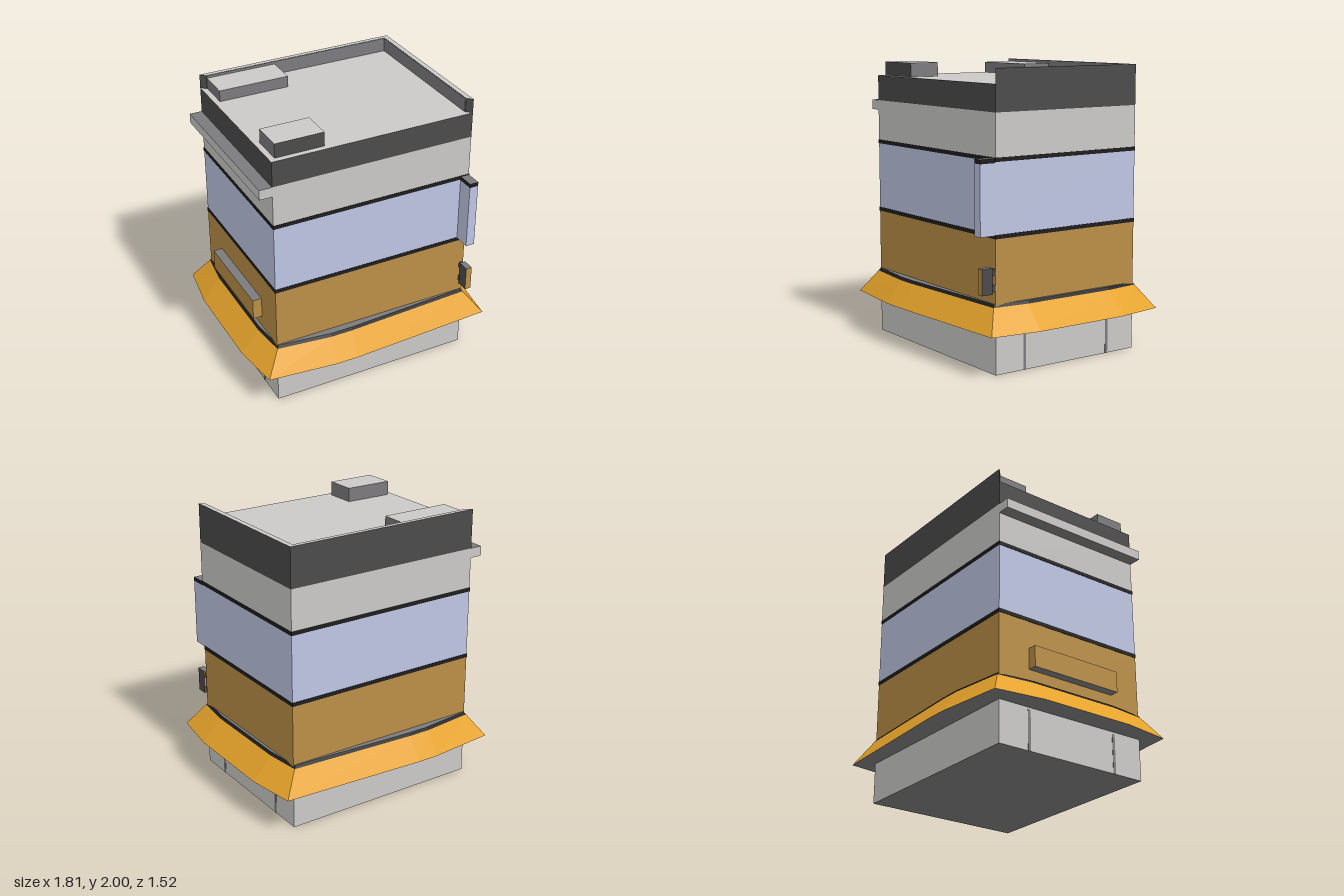
import * as THREE from 'three';

const mat = (name, color) => {
  const m = new THREE.MeshStandardMaterial({ color });
  m.name = name;
  return m;
};

export function createModel() {
  const group = new THREE.Group();
  group.name = 'cornerBuilding';

  const grey = mat('lightGrey', 0xcac9c7);
  const mid = mat('midGrey', 0x7b7b7d);
  const dark = mat('darkGrey', 0x4b4b4b);
  const black = mat('blackTrim', 0x1e1e1e);
  const lavender = mat('lavender', 0xbfc5e3);
  const tan = mat('tan', 0xbb8f46);
  const amber = mat('amber', 0xe7a42b);

  const add = (name, geometry, material) => {
    const mesh = new THREE.Mesh(geometry, material);
    mesh.name = name;
    group.add(mesh);
    return mesh;
  };

  // Box from its limits; material may list +x, -x, +y, -y, +z, -z
  const box = (name, [x0, x1], [y0, y1], [z0, z1], material) => {
    const g = new THREE.BoxGeometry(x1 - x0, y1 - y0, z1 - z0);
    g.translate((x0 + x1) / 2, (y0 + y1) / 2, (z0 + z1) / 2);
    return add(name, g, material);
  };
  // Face list for a box with mid grey top and underside
  const capped = (side, end = side) => [side, side, mid, mid, end, end];

  const X = [-0.74, 0.735], Z = [-0.59, 0.59];

  // Storeys, bottom to top
  box('groundFloor', X, [0, 0.4], Z, [grey, grey, grey, mid, grey, grey]);
  box('lowerWall', X, [0.4, 0.905], Z, tan);
  box('middleWall', X, [0.932, 1.405], Z, lavender);
  box('upperWall', X, [1.432, 1.72], Z, grey);
  box('roofBlock', X, [1.72, 1.9], Z, [dark, dark, grey, dark, dark, dark]);

  // Black trim between storeys
  const e = 0.003, grow = ([a, b]) => [a - e, b + e];
  box('lowerTrim', grow(X), [0.905, 0.932], grow(Z), black);
  box('upperTrim', grow(X), [1.405, 1.432], grow(Z), black);

  // Thin seams on the ground floor sides
  for (const [side, x] of [['right', X[0]], ['left', X[1]]]) {
    for (const z of [-0.353, 0.355]) {
      box(side + 'Seam', [x - 0.002, x + 0.002], [0, 0.28], [z - 0.011, z + 0.011], mid);
    }
  }

  // Awning outlines, front half mirrored to the back, as [x, z]
  const ring = (half) => [...half, ...half.slice().reverse().map(([x, z]) => [x, -z])];
  const eave = ring([[-0.905, 0.35], [-0.855, 0.707], [-0.36, 0.76], [-0.2, 0.76], [0.855, 0.707], [0.905, 0.35]]);
  const head = ring([[-0.775, 0.35], [-0.745, 0.608], [-0.36, 0.655], [-0.2, 0.655], [0.737, 0.608], [0.767, 0.35]]);
  const crown = head.map(([x, z]) => [x - 0.012 * Math.sign(x), z - 0.012 * Math.sign(z)]);

  // Flat-faced skin between two outlines
  const loft = (lower, y0, upper, y1) => {
    const positions = [];
    lower.forEach(([x, z], i) => {
      const j = (i + 1) % lower.length;
      const a = [x, y0, z], b = [lower[j][0], y0, lower[j][1]];
      const c = [upper[j][0], y1, upper[j][1]], d = [upper[i][0], y1, upper[i][1]];
      positions.push(...a, ...b, ...c, ...a, ...c, ...d);
    });
    const g = new THREE.BufferGeometry();
    g.setAttribute('position', new THREE.Float32BufferAttribute(positions, 3));
    g.computeVertexNormals();
    return g;
  };

  // Horizontal plate on an outline, facing up (1) or down (-1)
  const outline = (points) => new THREE.Shape(points.map(([x, z]) => new THREE.Vector2(x, -z)));
  const plate = (points, y, facing) => {
    const g = new THREE.ShapeGeometry(outline(points));
    g.rotateX(-facing * Math.PI / 2);
    g.translate(0, y, 0);
    return g;
  };

  add('awning', loft(eave, 0.295, head, 0.455), amber);
  add('awningUnderside', plate(eave, 0.295, -1), mid);
  add('awningTrim', loft(head, 0.455, crown, 0.475), black);
  add('awningTop', plate(crown, 0.475, 1), mid);

  // L-shaped parapet with mitred ends along the back and left edges
  const parapet = new THREE.ExtrudeGeometry(outline([
    [-0.74, -0.59], [0.735, -0.59], [0.735, 0.59],
    [0.698, 0.555], [0.698, -0.557], [-0.703, -0.557],
  ]), { depth: 0.1, bevelEnabled: false });
  parapet.rotateX(-Math.PI / 2);
  parapet.translate(0, 1.9, 0);
  add('parapet', parapet, [grey, dark]);
  box('backParapetLining', [-0.7, 0.698], [1.9, 1.998], [-0.558, -0.553], mid);
  box('leftParapetLining', [0.694, 0.699], [1.9, 1.998], [-0.557, 0.551], mid);

  // Roof units
  box('frontRoofUnit', [-0.7, -0.35], [1.9, 2], [0.325, 0.55], [mid, mid, grey, dark, dark, mid]);
  box('backRoofUnit', [-0.7, -0.19], [1.9, 1.98], [-0.553, -0.33], [mid, mid, grey, dark, mid, mid]);

  // Ledge and sign board on the right side
  box('sideLedge', [-0.83, -0.74], [1.65, 1.72], Z, capped(grey));
  box('sideBoard', [-0.805, -0.74], [0.56, 0.71], [-0.35, 0.35], capped(tan));

  // Projecting blade on the front left corner
  box('blade', [0.67, 0.735], [0.927, 1.398], [0.59, 0.71], capped(lavender));
  box('bladeCap', [0.67, 0.735], [1.398, 1.427], [0.59, 0.71], capped(black));

  // Small hanging sign with two brackets
  box('smallSign', [0.693, 0.738], [0.545, 0.72], [0.615, 0.7], capped(dark, tan));
  for (const y of [0.58, 0.69]) {
    box('signBracket', [0.7, 0.73], [y - 0.02, y + 0.02], [0.59, 0.615], dark);
  }

  return group;
}
